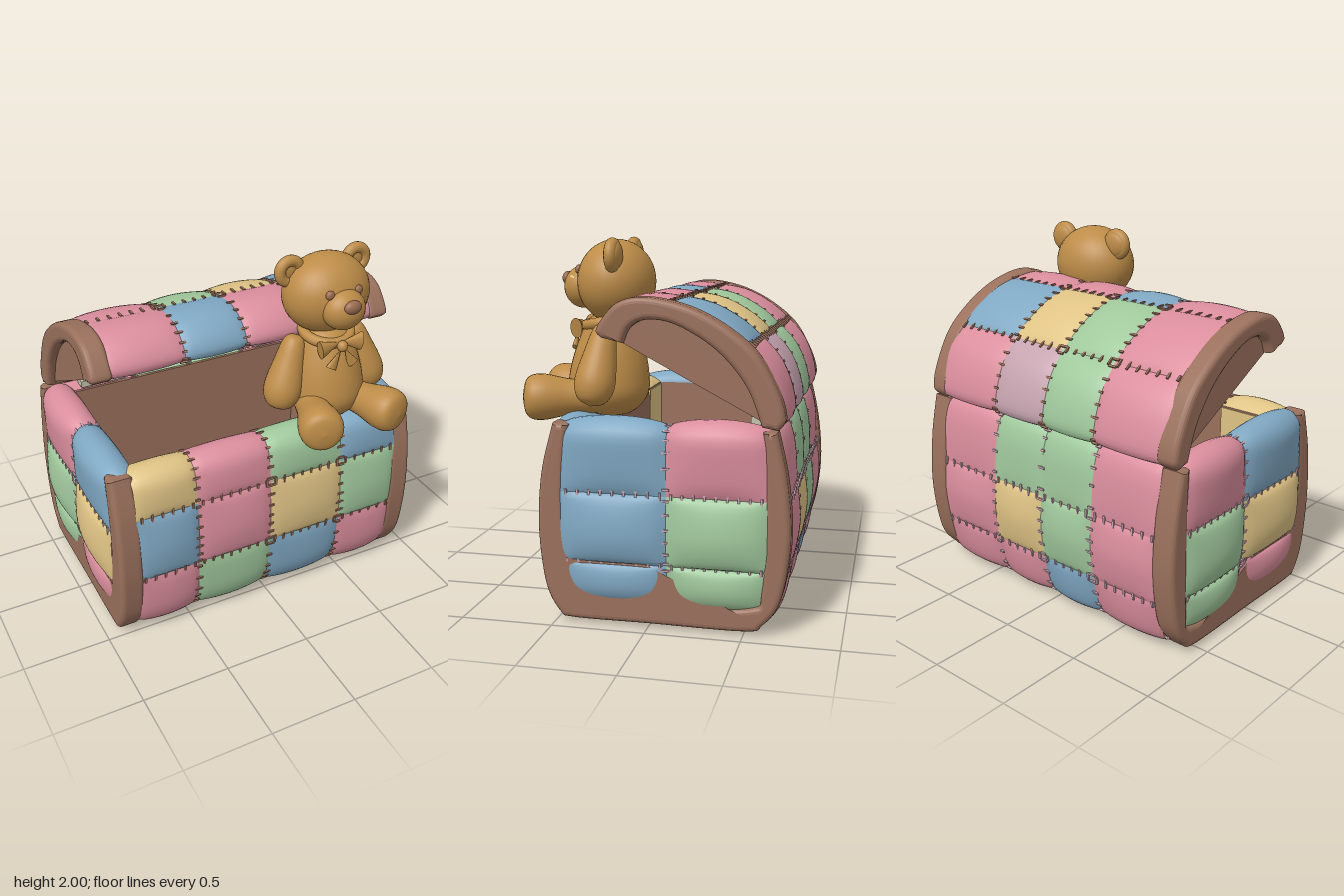
import * as THREE from 'three';
import { mergeGeometries } from 'three/addons/utils/BufferGeometryUtils.js';

const mat = (name, color) => Object.assign(new THREE.MeshStandardMaterial({ color }), { name });
const M = {
  P: mat('pink cloth', 0xdb8e9d), B: mat('blue cloth', 0x80a8c3), G: mat('green cloth', 0xa0c89c),
  Y: mat('yellow cloth', 0xdfc385), V: mat('mauve cloth', 0xc5a3af), wood: mat('brown trim', 0x9a705c),
  fur: mat('bear fur', 0xbd8c48), hinge: mat('pale hinge', 0xc4c4ae), nose: mat('nose brown', 0x9b6b50),
};
M.wood.side = THREE.DoubleSide;

const V2 = (pts) => pts.map(([a, b]) => new THREE.Vector2(a, b));

function add(parent, name, geo, material, x = 0, y = 0, z = 0) {
  const m = new THREE.Mesh(geo, material);
  m.name = name;
  m.position.set(x, y, z);
  parent.add(m);
  return m;
}
const box = (parent, name, m, x0, x1, y0, y1, z0, z1) =>
  add(parent, name, new THREE.BoxGeometry(x1 - x0, y1 - y0, z1 - z0), m, (x0 + x1) / 2, (y0 + y1) / 2, (z0 + z1) / 2);
const ball = (parent, name, m, x, y, z, rx, ry, rz) => {
  const b = add(parent, name, new THREE.SphereGeometry(1, 32, 22), m, x, y, z);
  b.scale.set(rx, ry, rz);
  return b;
};

// Puffed surface: a (z, y) profile swept from x0 to x1, swelling by h in the middle
function sweep(curve, x0, x1, h, ns = 16, nu = 14) {
  const pos = [], idx = [];
  for (let i = 0; i <= ns; i++) {
    const s = i / ns, p = curve.getPoint(s), t = curve.getTangent(s);
    for (let j = 0; j <= nu; j++) {
      const u = j / nu;
      const k = h * Math.pow(Math.abs(Math.sin(Math.PI * s) * Math.sin(Math.PI * u)), 0.6);
      pos.push(x0 + (x1 - x0) * u, p.y + t.x * k, p.x - t.y * k);
      if (i < ns && j < nu) {
        const a = i * (nu + 1) + j, b = a + nu + 1;
        idx.push(a, b, a + 1, b, b + 1, a + 1);
      }
    }
  }
  const g = new THREE.BufferGeometry();
  g.setAttribute('position', new THREE.Float32BufferAttribute(pos, 3));
  g.setIndex(idx);
  g.computeVertexNormals();
  return g;
}

// Patchwork: profile rows by columns, with stitches over the seams
function quilt(parent, name, rows, cols, colours, h, thread) {
  const group = new THREE.Group(), stitches = [];
  group.name = name;
  const stitch = (curve, s, x, across) => {
    const p = curve.getPoint(s), t = curve.getTangent(s);
    const len = 0.04 + 0.012 * Math.sin(x * 91 + s * 37);
    const g = new THREE.BoxGeometry(across ? len : 0.012, across ? 0.012 : len, 0.022);
    g.applyMatrix4(new THREE.Matrix4().makeBasis(new THREE.Vector3(1, 0, 0),
      new THREE.Vector3(0, -t.y, -t.x), new THREE.Vector3(0, t.x, -t.y)));
    stitches.push(g.translate(x, p.y, p.x));
  };
  rows.forEach((pts, r) => {
    const curve = new THREE.SplineCurve(V2(pts));
    for (let c = 0; c < cols.length - 1; c++) {
      const x0 = cols[c], x1 = cols[c + 1];
      add(group, 'patch', sweep(curve, x0, x1, h), M[colours[r][c]]);
      const nx = Math.round((x1 - x0) / 0.06), ns = Math.round(curve.getLength() / 0.06);
      if (r > 0) for (let i = 0; i < nx; i++) stitch(curve, 0, x0 + (x1 - x0) * (i + 0.5) / nx, false);
      if (c > 0) for (let i = 0; i < ns; i++) stitch(curve, (i + 0.5) / ns, x0, true);
    }
  });
  add(group, 'stitches', mergeGeometries(stitches), thread);
  parent.add(group);
  return group;
}

// Slab with a (z, y) outline, thick along x
function slab(parent, name, shape, depth, bevel, m, x) {
  const g = new THREE.ExtrudeGeometry(shape, {
    depth: depth - 2 * bevel, bevelEnabled: bevel > 0, bevelSize: bevel, bevelThickness: bevel,
    bevelOffset: -bevel, bevelSegments: 4, curveSegments: 30,
  });
  g.translate(0, 0, bevel - depth / 2).rotateY(-Math.PI / 2);
  return add(parent, name, g, m, x);
}
const outline = (a, b) => {
  const s = new THREE.Shape();
  s.moveTo(...a[0]);
  s.splineThru(V2(a.slice(1)));
  s.lineTo(...b[0]);
  s.splineThru(V2(b.slice(1)));
  return s;
};

// Rounded limb from a to b with [t, radius] stations
function limb(parent, name, a, b, stations) {
  const A = new THREE.Vector3(...a), d = new THREE.Vector3(...b).sub(A), L = d.length();
  const pts = new THREE.SplineCurve(V2(stations.map(([t, r]) => [r, t * L]))).getPoints(30);
  pts.forEach((p) => { p.x = Math.max(p.x, 0); });
  const m = add(parent, name, new THREE.LatheGeometry(pts, 28), M.fur, ...a);
  m.quaternion.setFromUnitVectors(new THREE.Vector3(0, 1, 0), d.normalize());
}

function buildChest(root) {
  const chest = new THREE.Group();
  chest.name = 'chest';
  root.add(chest);
  quilt(chest, 'frontQuilt', [
    [[0.34, 1.03], [0.44, 1.06], [0.52, 1.02], [0.55, 0.93], [0.565, 0.82]],
    [[0.565, 0.82], [0.578, 0.6], [0.575, 0.42]],
    [[0.575, 0.42], [0.55, 0.2], [0.5, 0.08], [0.42, 0.025]],
  ], [-0.82, -0.46, -0.01, 0.45, 0.82], ['YPGB', 'BPYG', 'PGBP'], 0.03, M.wood);
  quilt(chest, 'backQuilt', [
    [[0.42, 0.025], [-0.08, 0.025]],
    [[-0.08, 0.025], [-0.55, 0.025]],
    [[-0.55, 0.025], [-0.64, 0.09], [-0.7, 0.3]],
    [[-0.7, 0.3], [-0.72, 0.5], [-0.71, 0.68]],
    [[-0.71, 0.68], [-0.69, 0.9], [-0.65, 1.03], [-0.6, 1.05], [-0.52, 1.04]],
  ], [-0.82, -0.37, 0, 0.37, 0.82], ['PGYP', 'PBGP', 'PBPP', 'PGYP', 'PGGP'], 0.025, M.V);

  // End quilts
  const ends = [
    [[0.76, 1.03], [0.84, 1.06], [0.91, 1.02], [0.925, 0.9], [0.93, 0.71]],
    [[0.93, 0.71], [0.935, 0.5], [0.925, 0.34]],
    [[0.925, 0.34], [0.905, 0.22], [0.88, 0.12]],
  ];
  quilt(chest, 'leftEndQuilt', ends, [-0.46, 0.1, 0.62], ['BP', 'BG', 'BG'], 0.055, M.V).rotation.y = Math.PI / 2;
  quilt(chest, 'rightEndQuilt', ends, [-0.62, -0.1, 0.46], ['PB', 'GY', 'GP'], 0.055, M.V).rotation.y = -Math.PI / 2;

  // U-shaped end trims
  const u = outline(
    [[0.5, 1.065], [0.567, 0.8], [0.588, 0.5], [0.555, 0.2], [0.48, 0.05], [0.4, 0.02], [0, 0.02], [-0.5, 0.02],
      [-0.6, 0.06], [-0.69, 0.2], [-0.735, 0.5], [-0.715, 0.8], [-0.66, 1.06]],
    [[-0.59, 1.06], [-0.6, 0.8], [-0.59, 0.26], [-0.53, 0.15], [-0.1, 0.14], [0.33, 0.15], [0.42, 0.26], [0.445, 0.7], [0.41, 1.06]]);
  for (const s of [-1, 1]) {
    slab(chest, 'endTrim', u, 0.14, 0.03, M.wood, s * 0.865);
    box(chest, 'endWall', M.wood, s * 0.82 - 0.06, s * 0.82 + 0.06, 0.1, 1.03, -0.6, 0.44);
    box(chest, 'hinge', M.hinge, s * 0.58 - 0.14, s * 0.58 + 0.14, 1.06, 1.1, -0.57, -0.5);
  }
  // Inner walls and lining
  box(chest, 'frontWall', M.wood, -0.8, 0.8, 0.1, 1.03, 0.34, 0.48);
  box(chest, 'backWall', M.wood, -0.8, 0.8, 0.1, 1.03, -0.62, -0.52);
  box(chest, 'floor', M.wood, -0.8, 0.8, 0.06, 0.1, -0.6, 0.45);
  box(chest, 'floorLining', M.P, -0.76, -0.46, 0.1, 0.108, -0.52, 0.34);
  box(chest, 'floorLining', M.hinge, -0.46, 0.05, 0.1, 0.108, -0.52, 0.34);
  box(chest, 'frontLining', M.Y, -0.76, -0.46, 0.6, 1.02, 0.333, 0.34);
}

function buildLid(root) {
  const lid = new THREE.Group();
  lid.name = 'lid';
  root.add(lid);
  quilt(lid, 'lidQuilt', [
    [[-0.66, 1.07], [-0.685, 1.12], [-0.655, 1.25], [-0.6, 1.37], [-0.51, 1.475]],
    [[-0.51, 1.475], [-0.4, 1.56], [-0.25, 1.64], [-0.1, 1.685]],
    [[-0.1, 1.685], [0.05, 1.692], [0.15, 1.66], [0.22, 1.6], [0.25, 1.54], [0.22, 1.505]],
  ], [-0.82, -0.37, 0, 0.37, 0.82], ['PGVP', 'PGYB', 'PBPP'], 0.028, M.wood);
  const inner = [[0.13, 1.48], [0.09, 1.56], [0, 1.6], [-0.15, 1.575], [-0.35, 1.455], [-0.5, 1.28], [-0.58, 1.08]];
  const lining = new THREE.SplineCurve(V2([[0.22, 1.505], ...inner, [-0.66, 1.07]]));
  add(lid, 'lidLining', sweep(lining, -0.8, 0.8, 0, 40, 1), M.wood);

  // Arched end trims and half-moon end plates
  const arch = outline(
    [[-0.66, 1.065], [-0.695, 1.12], [-0.66, 1.25], [-0.56, 1.43], [-0.42, 1.555], [-0.25, 1.65], [-0.08, 1.7],
      [0.06, 1.71], [0.16, 1.68], [0.23, 1.61], [0.268, 1.54], [0.24, 1.505]], inner);
  const moon = outline([[-0.6, 1.09], [-0.52, 1.28], [-0.36, 1.47], [-0.15, 1.6], [0, 1.62], [0.1, 1.57], [0.16, 1.49]],
    [[0.16, 1.49], [-0.22, 1.29], [-0.6, 1.09]]);
  for (const s of [-1, 1]) {
    slab(lid, 'lidTrim', arch, 0.13, 0.03, M.wood, s * 0.848);
    slab(lid, 'lidEndPlate', moon, 0.1, 0, M.wood, s * 0.81);
  }
}

function buildBear(root) {
  const bear = new THREE.Group();
  bear.name = 'bear';
  bear.position.x = 0.46;
  root.add(bear);
  limb(bear, 'body', [0, 1.04, 0.34], [0, 1.62, 0.3],
    [[0, 0], [0.03, 0.13], [0.2, 0.215], [0.42, 0.215], [0.7, 0.175], [0.9, 0.12], [1, 0]]);
  ball(bear, 'head', M.fur, 0.01, 1.765, 0.275, 0.255, 0.225, 0.21);
  ball(bear, 'muzzle', M.fur, 0.01, 1.735, 0.46, 0.125, 0.115, 0.105);
  ball(bear, 'muzzlePatch', M.Y, 0.1, 1.75, 0.5, 0.04, 0.05, 0.012).rotation.y = 0.9;
  ball(bear, 'nose', M.nose, 0.01, 1.78, 0.548, 0.052, 0.038, 0.03);
  for (const s of [-1, 1]) {
    ball(bear, 'eye', M.nose, 0.01 + s * 0.088, 1.83, 0.458, 0.026, 0.026, 0.02);
    // Cupped ear
    add(bear, 'earRim', new THREE.TorusGeometry(0.06, 0.032, 14, 28), M.fur, 0.01 + s * 0.21, 1.908, 0.235);
    ball(bear, 'earCup', M.fur, 0.01 + s * 0.21, 1.908, 0.22, 0.075, 0.075, 0.035);
    limb(bear, 'arm', [s * 0.18, 1.55, 0.29], [s * 0.31, 1.13, 0.34],
      [[0, 0], [0.06, 0.055], [0.35, 0.085], [0.72, 0.108], [0.93, 0.075], [1, 0]]);
    limb(bear, 'leg', [s * 0.09, 1.15, 0.28], [s * 0.245, 1.155, 0.74],
      [[0, 0], [0.08, 0.08], [0.45, 0.095], [0.78, 0.125], [0.95, 0.1], [1, 0]]);
    // Bow loop and tail
    const loop = add(bear, 'bowLoop', new THREE.ConeGeometry(0.055, 0.13, 20), M.fur, s * 0.065, 1.53, 0.47);
    loop.rotation.z = s * (Math.PI / 2 - 0.15);
    loop.scale.z = 0.6;
    const tail = add(bear, 'bowTail', new THREE.ConeGeometry(0.035, 0.12, 16), M.fur, s * 0.04, 1.46, 0.495);
    tail.rotation.z = s * 0.5;
    tail.scale.z = 0.5;
  }
  ball(bear, 'bowKnot', M.fur, 0, 1.525, 0.49, 0.03, 0.032, 0.03);
  const collar = add(bear, 'collar', new THREE.TorusGeometry(0.135, 0.03, 12, 32), M.fur, 0, 1.555, 0.315);
  collar.rotation.x = Math.PI / 2 + 0.2;
}

export function createModel() {
  const root = new THREE.Group();
  root.name = 'toyChestWithBear';
  buildChest(root);
  buildLid(root);
  buildBear(root);
  return root;
}
